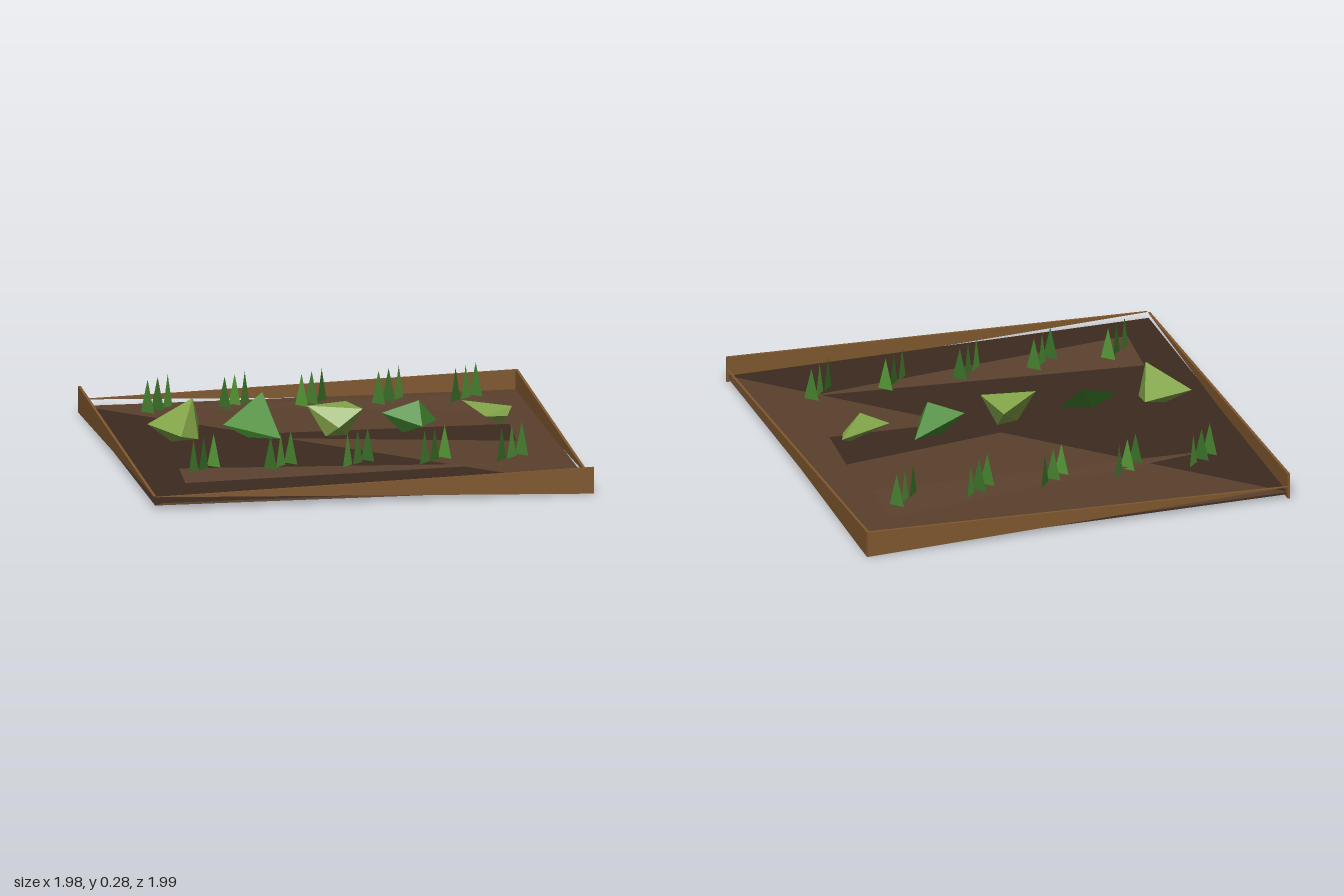
import * as THREE from 'three';
import { ConvexGeometry } from 'three/addons/geometries/ConvexGeometry.js';

const material = (color) =>
  new THREE.MeshStandardMaterial({ color, flatShading: true, side: THREE.DoubleSide });

const LIGHT_SOIL = material(0x5a402c), DARK_SOIL = material(0x3c2a1e);
const ROW_SOIL = material(0x5c4230), WOOD = material(0x80582f);
const LEAF = [0x47822f, 0x3a7028, 0x559a38].map(material);
const CABBAGE_GREEN = material(0x458a30), CABBAGE_OLIVE = material(0x86a84a);

function addMesh(parent, name, geometry, mat) {
  const mesh = new THREE.Mesh(geometry, mat);
  mesh.name = name;
  parent.add(mesh);
  return mesh;
}

function triangle(a, b, c) {
  const g = new THREE.BufferGeometry();
  g.setAttribute('position', new THREE.Float32BufferAttribute([...a, ...b, ...c], 3));
  g.computeVertexNormals();
  return g;
}

export function createModel() {
  const model = new THREE.Group();
  model.name = 'vegetableBed';

  // Soil sheet: two-tone upper and lower faces
  const s = 0.985, top = 0.03, low = 0.02;
  addMesh(model, 'soilTopLight', triangle([-s, top, -s], [s, top, s], [s, top, -s]), LIGHT_SOIL);
  addMesh(model, 'soilTopDark', triangle([-s, top, -s], [-s, top, s], [s, top, s]), DARK_SOIL);
  addMesh(model, 'soilUnderLight', triangle([s, low, -s], [s, low, s], [-s, low, s]), LIGHT_SOIL);
  addMesh(model, 'soilUnderDark', triangle([s, low, -s], [-s, low, s], [-s, low, -s]), DARK_SOIL);

  // Border planks: thin wedges, widening towards +x or towards -z
  const wedge = new THREE.Shape([[-0.98, 0.06], [0.99, 0], [0.99, 0.12]]
    .map(([x, y]) => new THREE.Vector2(x, y)));
  const plank = new THREE.ExtrudeGeometry(wedge, { depth: 0.012, bevelEnabled: false });
  plank.translate(0, 0, -0.006);
  for (const side of [-1, 1]) {
    addMesh(model, side > 0 ? 'frontPlank' : 'backPlank', plank, WOOD).position.z = side * 0.99;
    const p = addMesh(model, side > 0 ? 'leftPlank' : 'rightPlank', plank, WOOD);
    p.rotation.y = Math.PI / 2;
    p.position.x = side * 0.985;
  }

  // Planting rows: long tapered strips, the front one reversed
  [[-0.6, 1, ROW_SOIL], [0, 1, DARK_SOIL], [0.6, -1, ROW_SOIL]].forEach(([z, d, mat], i) => {
    addMesh(model, `plantingRow${i + 1}`, triangle(
      [-0.74 * d, d > 0 ? 0.1 : 0.06, z],
      [0.785 * d, 0.06, z + 0.155 * d],
      [0.81 * d, 0.065, z - 0.16 * d]), mat);
  });

  // Cabbages: irregular faceted heads along the middle row
  const heads = [
    [[-0.84, 0.15, -0.06], [-0.6, 0.15, -0.12], [-0.65, 0.28, 0.02],
      [-0.63, 0.1, 0.06], [-0.72, 0.13, 0.13], [-0.74, 0.08, 0]],
    [[-0.51, 0.15, 0.01], [-0.31, 0.26, -0.13], [-0.26, 0.09, 0.07], [-0.4, 0.09, 0.02]],
    [[-0.13, 0.22, 0], [0.07, 0.2, -0.15], [0.11, 0.21, 0.06],
      [0, 0.13, 0.075], [0.05, 0.08, 0], [-0.05, 0.08, 0.02]],
    [[0.21, 0.17, -0.02], [0.47, 0.11, -0.1], [0.37, 0.23, 0.02],
      [0.37, 0.13, 0.11], [0.3, 0.08, 0]],
    [[0.58, 0.2, -0.08], [0.81, 0.16, -0.1], [0.77, 0.14, 0.01],
      [0.65, 0.17, 0.13], [0.74, 0.1, 0]],
  ];
  heads.forEach((points, i) => addMesh(model, `cabbage${i + 1}`,
    new ConvexGeometry(points.map((p) => new THREE.Vector3(...p))),
    i % 2 ? CABBAGE_GREEN : CABBAGE_OLIVE));

  // Sprouts: clusters of three upright blades, each turned one way or the other
  const blade = triangle([-0.036, 0, 0], [0.036, 0, 0], [0, 0.15, 0]);
  const facing = {
    front: ['110', '010', '110', '110', '110'],
    back: ['001', '001', '001', '001', '110'],
  };
  for (const [row, turns] of Object.entries(facing)) {
    const z = row === 'front' ? 0.565 : -0.635;
    turns.forEach((pattern, i) => {
      const cluster = new THREE.Group();
      cluster.name = `${row}Sprout${i + 1}`;
      cluster.position.set((i - 2) * 0.347, 0.08, z);
      [...pattern].forEach((turn, k) => {
        const b = addMesh(cluster, 'leafBlade', blade, LEAF[(i + k) % 3]);
        b.position.set((k - 1) * 0.053, 0, (1 - k) * 0.044);
        b.rotation.y = (turn === '1' ? 1 : -1) * Math.PI / 4;
      });
      model.add(cluster);
    });
  }
  return model;
}
